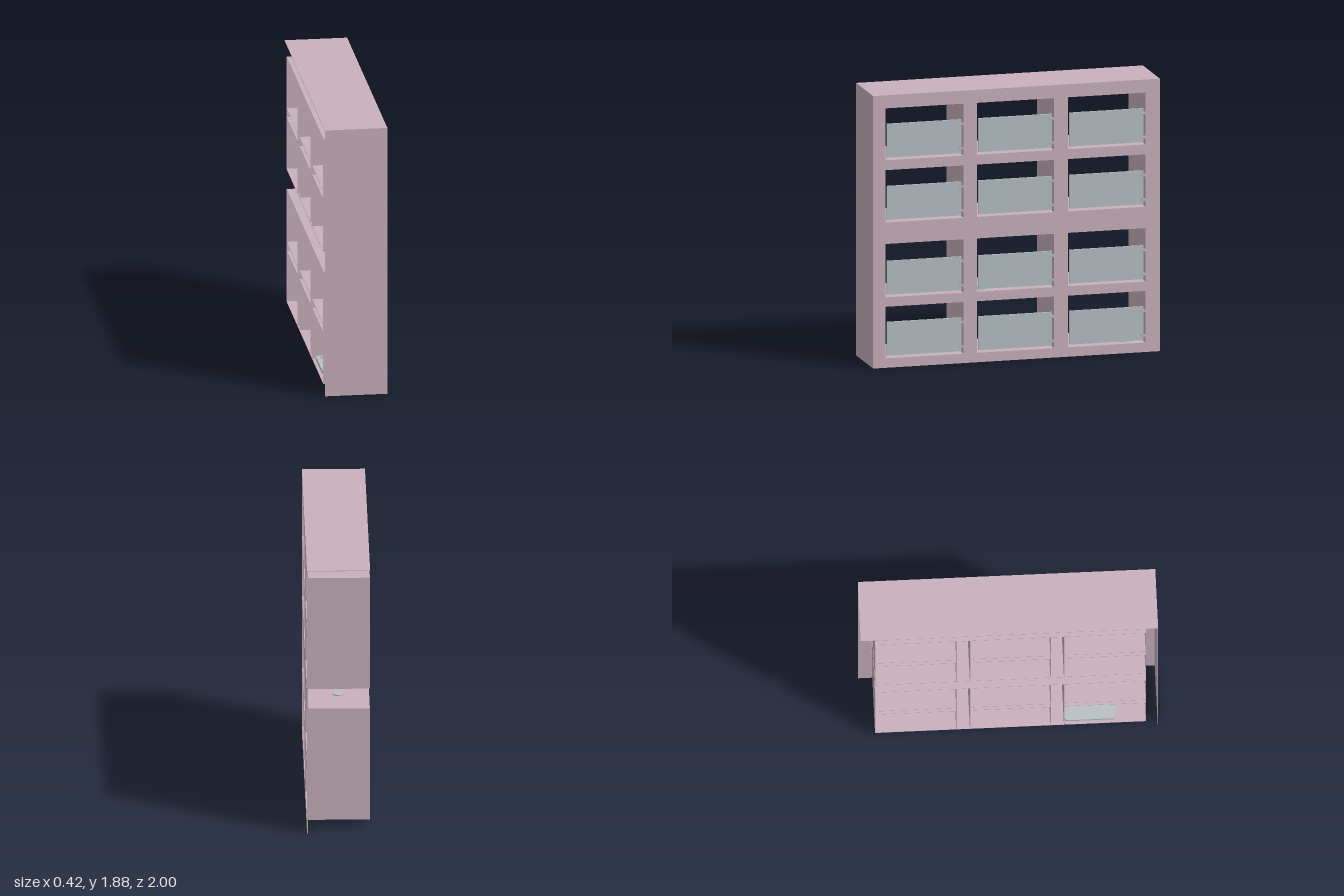
import * as THREE from 'three';

export function createModel() {
  const model = new THREE.Group();
  const pink = new THREE.MeshStandardMaterial({ color: 0xc9b1bd, side: THREE.DoubleSide });
  pink.name = 'pink panel';
  const grey = new THREE.MeshStandardMaterial({ color: 0xb8c1c4, side: THREE.DoubleSide });
  grey.name = 'pale grey';

  const xBack = -0.212, xFace = 0.206, xFront = 0.212, height = 1.875, t = 0.004;
  const columns = [[0.37, 0.915], [-0.262, 0.275], [-0.9, -0.358]]; // z ranges
  const rows = [[0.065, 0.42], [0.485, 0.852], [1.0, 1.36], [1.428, 1.785]]; // y ranges
  const lampZ = [0.62, 0.005, -0.62];

  const add = (name, geometry, material, x = 0, y = 0, z = 0) => {
    const mesh = new THREE.Mesh(geometry, material);
    mesh.name = name;
    mesh.position.set(x, y, z);
    model.add(mesh);
    return mesh;
  };
  // Box given by its lower and upper corners
  const block = (name, material, x0, x1, y0, y1, z0, z1) =>
    add(name, new THREE.BoxGeometry(x1 - x0, y1 - y0, z1 - z0), material,
      (x0 + x1) / 2, (y0 + y1) / 2, (z0 + z1) / 2);
  const rect = (path, u0, u1, v0, v1) => {
    path.moveTo(u0, v0);
    path.lineTo(u1, v0);
    path.lineTo(u1, v1);
    path.lineTo(u0, v1);
    path.closePath();
    return path;
  };

  // Face plate with twelve openings, drawn in (-z, y) and turned to face +x
  const face = rect(new THREE.Shape(), -1, 1, 0, height);
  for (const [z0, z1] of columns)
    for (const [y0, y1] of rows) face.holes.push(rect(new THREE.Path(), -z1, -z0, y0, y1));
  const plate = new THREE.ExtrudeGeometry(face, { depth: xFront - xFace, bevelEnabled: false });
  plate.rotateY(Math.PI / 2);
  add('facePlate', plate, pink, xFace);

  // Outer top and the single end panel
  block('topPanel', pink, xBack, xFace, height - t, height, -1, 1);
  block('endPanel', pink, xBack, xFace, 0, height - t, 1 - t, 1);

  // Upper and lower cabinet: floor, ceiling and upright walls
  for (const [bottom, top] of [[0.065, 0.852], [1.0, 1.785]]) {
    block('cabinetFloor', pink, xBack, xFace, bottom - t, bottom, -0.904, 0.919);
    block('cabinetCeiling', pink, xBack, xFace, top, top + t, -0.904, 0.919);
    for (const [z0, z1] of columns) {
      block('cellWall', pink, xBack, xFace, bottom, top, z0 - t, z0);
      block('cellWall', pink, xBack, xFace, bottom, top, z1, z1 + t);
    }
  }

  columns.forEach(([z0, z1], c) => {
    rows.forEach(([y0, y1], r) => {
      // Paired shelves between the two rows of a cabinet
      if (r % 2) block('shelf', pink, xBack, xFace, y0 - t, y0, z0, z1);
      else block('cellCeiling', pink, xBack, xFace, y1, y1 + t, z0, z1);

      // Low door with two hinges
      const doorY = y0 + 0.015;
      block('door', grey, 0.19, 0.202, doorY, doorY + 0.232, z0 + 0.012, z1 - 0.014);
      for (const dy of [0.033, 0.199]) {
        block('hingePin', grey, 0.196, 0.21, doorY + dy - 0.004, doorY + dy + 0.004, z0 - 0.008, z0 + 0.028);
        for (const dz of [0, 0.018])
          block('hingeLug', grey, 0.19, 0.212, doorY + dy - 0.008, doorY + dy + 0.008, z0 + dz, z0 + dz + 0.008);
      }

      // Round ceiling lamp, set through the ceiling
      add('lamp', new THREE.CylinderGeometry(0.038, 0.038, 0.022, 32), grey, -0.005, y1 - 0.001, lampZ[c]);
    });
  });

  // Shallow bowls with a flared foot
  const bowlProfile = [[0.086, 0], [0.083, 0.006], [0.068, 0.024], [0.06, 0.026], [0.052, 0.01], [0, 0.007]]
    .map(([r, y]) => new THREE.Vector2(r, y));
  for (const [y, z] of [[0.486, 0.185], [0.066, -0.813]])
    add('bowl', new THREE.LatheGeometry(bowlProfile, 40), grey, 0.1, y, z);

  // Litter tray: raised rim around a flat base
  const roundRect = (path, w, d, r) => {
    path.moveTo(-w + r, -d);
    path.lineTo(w - r, -d);
    path.quadraticCurveTo(w, -d, w, -d + r);
    path.lineTo(w, d - r);
    path.quadraticCurveTo(w, d, w - r, d);
    path.lineTo(-w + r, d);
    path.quadraticCurveTo(-w, d, -w, d - r);
    path.lineTo(-w, -d + r);
    path.quadraticCurveTo(-w, -d, -w + r, -d);
    return path;
  };
  const rim = roundRect(new THREE.Shape(), 0.145, 0.172, 0.025);
  rim.holes.push(roundRect(new THREE.Path(), 0.122, 0.149, 0.02));
  const rimGeometry = new THREE.ExtrudeGeometry(rim, { depth: 0.02, bevelEnabled: false });
  rimGeometry.rotateX(-Math.PI / 2);
  add('trayRim', rimGeometry, grey, -0.045, 0.066, 0.545);
  block('trayBase', grey, -0.167, 0.077, 0.066, 0.071, 0.396, 0.694);

  return model;
}
